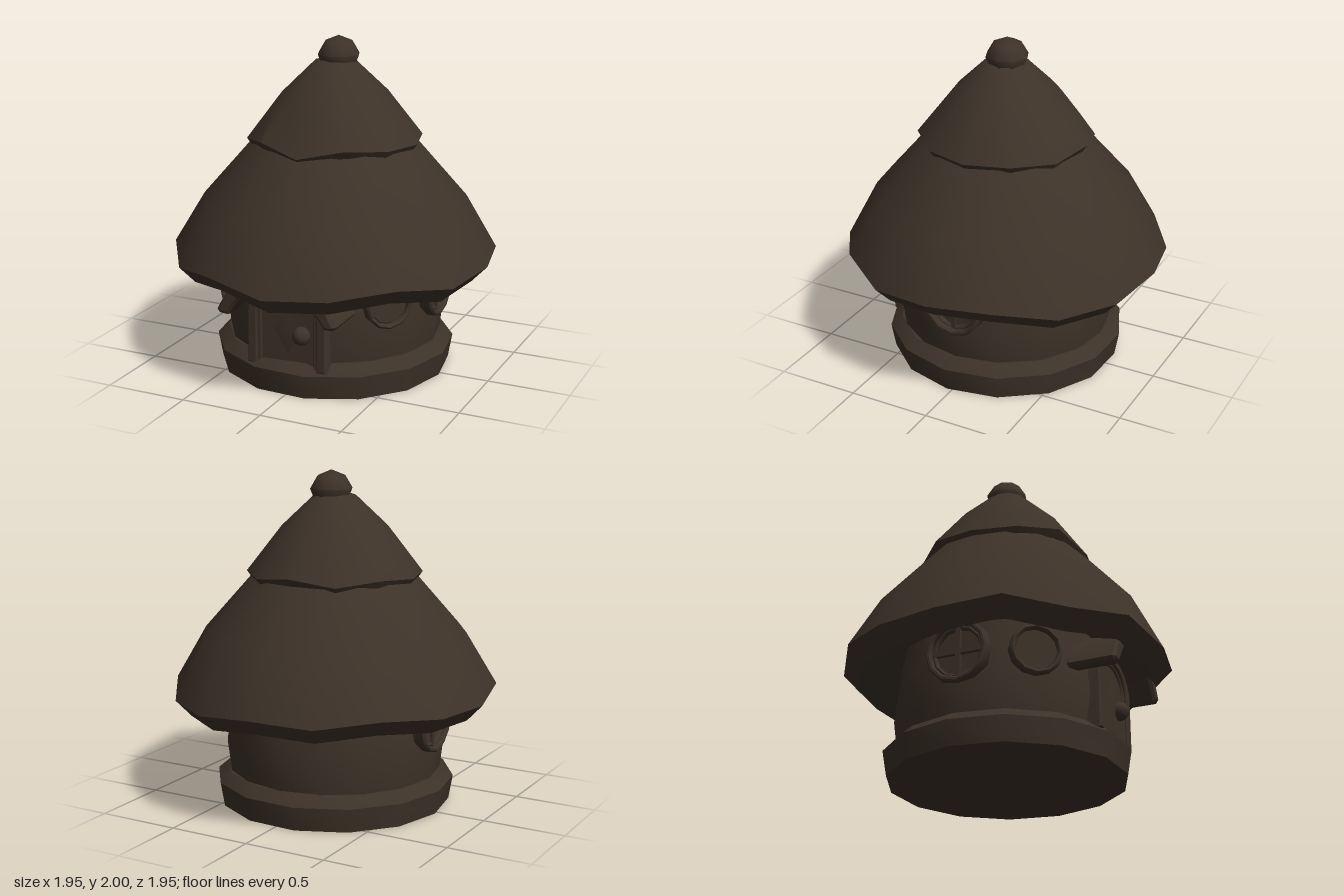
import * as THREE from 'three';
import { toCreasedNormals } from 'three/addons/utils/BufferGeometryUtils.js';

const material = new THREE.MeshStandardMaterial({ color: 0x3d3228, side: THREE.DoubleSide });

function addMesh(parent, name, geometry, crease = 0.6) {
  const mesh = new THREE.Mesh(toCreasedNormals(geometry, crease), material);
  mesh.name = name;
  parent.add(mesh);
  return mesh;
}

// Turned profile; the first `loose` rings follow a hand-cut uneven edge
function turned(profile, sides, phase = 0, edge = null, loose = 0) {
  const geometry = new THREE.LatheGeometry(profile.map(p => new THREE.Vector2(...p)), sides, phase);
  if (edge) {
    const pos = geometry.attributes.position;
    for (let i = 0; i <= sides; i++) {
      for (let j = 0; j < loose; j++) {
        const k = i * profile.length + j;
        pos.setY(k, pos.getY(k) + edge[i % sides]);
      }
    }
  }
  return geometry;
}

function extrude(shape, depth, bevel = 0.008, curveSegments = 8) {
  return new THREE.ExtrudeGeometry(shape, {
    depth, curveSegments, bevelEnabled: bevel > 0,
    bevelSize: bevel, bevelThickness: bevel, bevelOffset: -bevel, bevelSegments: 1,
  });
}

// Doorway outline with a low arched head
function archPath(Type, halfWidth, bottom, spring, rise) {
  const path = new Type();
  path.moveTo(-halfWidth, bottom);
  path.lineTo(halfWidth, bottom);
  path.lineTo(halfWidth, spring);
  path.absellipse(0, spring, halfWidth, rise, 0, Math.PI, false);
  path.closePath();
  return path;
}

function archFrame(outer, inner, depth) {
  const shape = archPath(THREE.Shape, outer, 0.16, 0.48, outer * 0.75);
  shape.holes.push(archPath(THREE.Path, inner, 0.15, 0.48, inner * 0.75));
  // The opening reaches the sill, so build it as one open U outline
  const open = new THREE.Shape();
  open.moveTo(outer, 0.16);
  open.lineTo(outer, 0.48);
  open.absellipse(0, 0.48, outer, outer * 0.75, 0, Math.PI, false);
  open.lineTo(-outer, 0.16);
  open.lineTo(-inner, 0.16);
  open.lineTo(-inner, 0.48);
  open.absellipse(0, 0.48, inner, inner * 0.75, Math.PI, 0, true);
  open.lineTo(inner, 0.16);
  open.closePath();
  return extrude(open, depth);
}

function ring(outer, inner, depth) {
  const shape = new THREE.Shape().absarc(0, 0, outer, 0, Math.PI * 2);
  shape.holes.push(new THREE.Path().absarc(0, 0, inner, 0, Math.PI * 2));
  return extrude(shape, depth, 0.01, 6);
}

// Round window with stepped frame, pane and cross bars
function roundWindow(parent, name, angle, radius, distance, y) {
  const group = new THREE.Group();
  group.name = name;
  addMesh(group, 'outerFrame', ring(radius, radius * 0.82, 0.06));
  addMesh(group, 'innerFrame', ring(radius * 0.84, radius * 0.71, 0.035));
  const pane = addMesh(group, 'pane', new THREE.CylinderGeometry(radius * 0.75, radius * 0.75, 0.02, 12));
  pane.rotation.x = Math.PI / 2;
  pane.position.z = 0.01;
  for (const turn of [0, Math.PI / 2]) {
    const bar = addMesh(group, 'crossBar', new THREE.BoxGeometry(radius * 1.5, radius * 0.15, 0.03));
    bar.rotation.z = turn;
    bar.position.z = 0.03;
  }
  group.rotation.y = angle;
  group.position.set(Math.sin(angle) * distance, y, Math.cos(angle) * distance);
  parent.add(group);
}

export function createModel() {
  const hut = new THREE.Group();
  hut.name = 'roundHut';

  // Stone plinth and bulging wall
  addMesh(hut, 'plinth', turned([[0, 0], [0.7, 0], [0.725, 0.145], [0.655, 0.205], [0.5, 0.205]], 14, 0.18));
  addMesh(hut, 'wall', turned([[0.64, 0.18], [0.665, 0.38], [0.645, 0.56], [0.62, 0.75]], 16));

  // Lower thatch tier with thick uneven eave
  const eave = [-0.03, -0.01, 0.035, -0.02, 0.01, 0.02, -0.04, -0.04,
    0, -0.02, 0.02, -0.01, -0.01, 0.035, -0.02, 0.03];
  addMesh(hut, 'lowerRoof', turned(
    [[0.6, 0.75], [0.88, 0.6], [0.975, 0.7], [0.79, 1.04], [0.5, 1.37], [0.36, 1.5]], 16, 0, eave, 3));

  // Upper thatch tier
  const upperEdge = [-0.035, 0.02, 0, -0.005, 0, -0.01, 0.02, -0.02, 0.01, -0.01, -0.005, 0.025];
  addMesh(hut, 'upperRoof', turned(
    [[0.4, 1.39], [0.495, 1.355], [0.525, 1.4], [0.315, 1.67], [0.125, 1.85], [0, 1.88]], 12, 0, upperEdge, 3));

  // Knob on the peak
  const cap = addMesh(hut, 'roofCap', turned(
    [[0, 1.84], [0.11, 1.84], [0.13, 1.89], [0.085, 1.965], [0, 2]], 8), 0.9);
  cap.position.set(0.017, 0, -0.012);

  // Door with stepped frame
  const door = new THREE.Group();
  door.name = 'door';
  hut.add(door);
  addMesh(door, 'doorPanel', extrude(archPath(THREE.Shape, 0.18, 0.16, 0.48, 0.135), 0.07)).position.z = 0.57;
  addMesh(door, 'outerDoorFrame', archFrame(0.25, 0.19, 0.09)).position.z = 0.575;
  addMesh(door, 'innerDoorFrame', archFrame(0.2, 0.165, 0.07)).position.z = 0.58;
  const knob = addMesh(door, 'doorKnob', new THREE.SphereGeometry(0.055, 10, 8), 1);
  knob.position.set(0.095, 0.37, 0.663);

  // Curved canopy over the door
  const canopy = new THREE.Shape([
    [0.375, 0.51], [0.31, 0.63], [0.17, 0.73], [0, 0.77], [-0.17, 0.73], [-0.31, 0.63], [-0.375, 0.51],
    [-0.36, 0.49], [-0.305, 0.485], [-0.22, 0.6], [-0.12, 0.66], [0, 0.685], [0.12, 0.66], [0.22, 0.6],
    [0.305, 0.485], [0.36, 0.49],
  ].map(p => new THREE.Vector2(...p)));
  addMesh(hut, 'doorCanopy', extrude(canopy, 0.26, 0.018)).position.z = 0.535;

  // Pairs of windows beside the door and on the flanks
  for (const side of [1, -1]) {
    const label = side > 0 ? 'left' : 'right';
    roundWindow(hut, label + 'FrontWindow', side * 0.91, 0.15, 0.625, 0.55);
    roundWindow(hut, label + 'SideWindow', side * Math.PI / 2, 0.19, 0.625, 0.56);
  }
  return hut;
}
